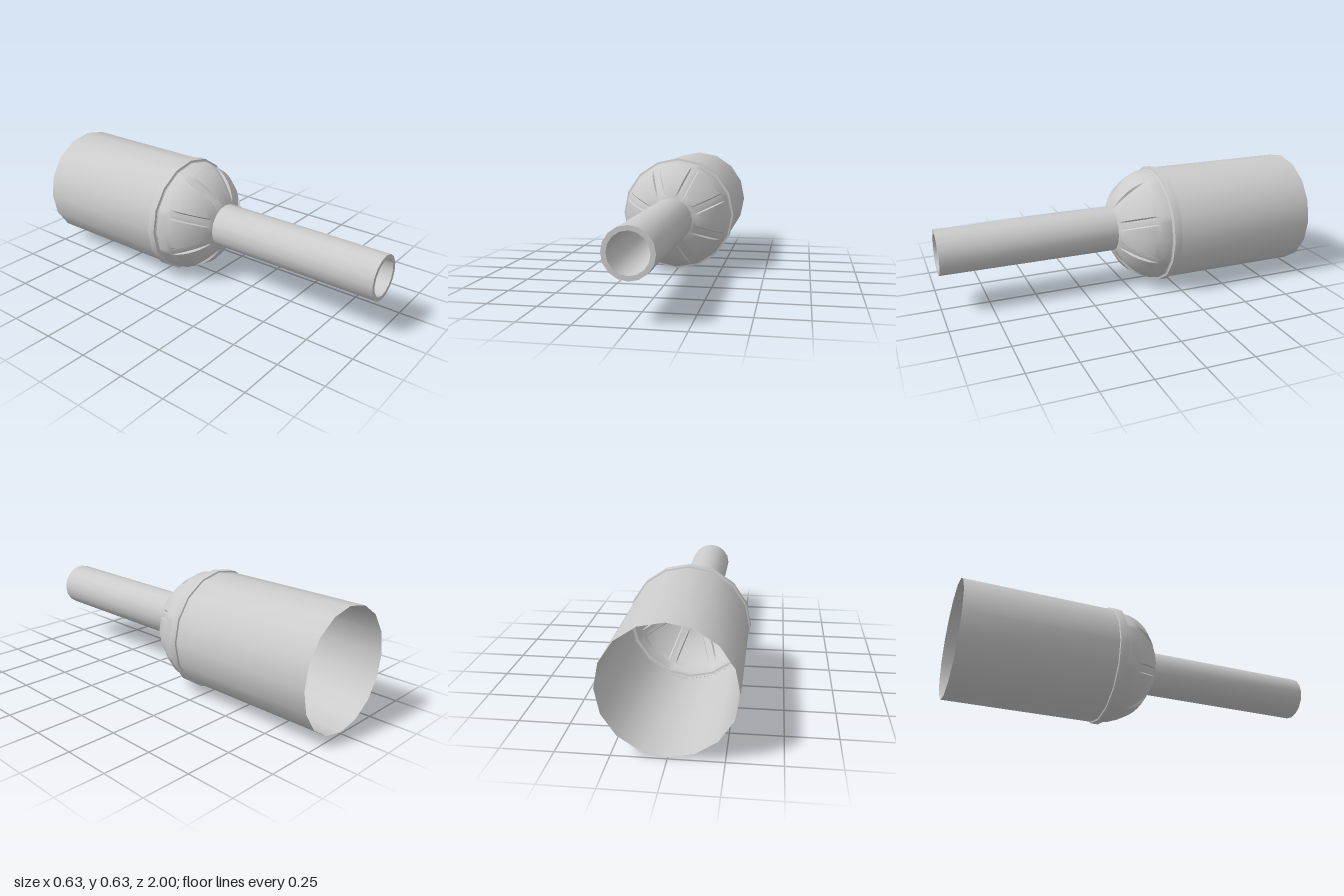
import * as THREE from 'three';
import { toCreasedNormals } from 'three/addons/utils/BufferGeometryUtils.js';

const SIDES = 16, AXIS_Y = 0.317, CREASE = 0.5;
const material = new THREE.MeshStandardMaterial({ color: 0xcccccc, side: THREE.DoubleSide });

function part(name, geometry) {
  const mesh = new THREE.Mesh(geometry, material);
  mesh.name = name;
  return mesh;
}

// Turned part from [radius, z] points listed from back to front
function turned(name, profile) {
  const points = profile.map(([r, z]) => new THREE.Vector2(r, z));
  const geometry = new THREE.LatheGeometry(points, SIDES).rotateX(Math.PI / 2);
  return part(name, toCreasedNormals(geometry, CREASE));
}

// Domed shoulder with eight flat-bottomed flutes that fade out at both ends
function domeGeometry() {
  const rows = 24, flutes = 8, radius = 0.302, height = 0.255, baseZ = -0.17;
  const thetaStart = 0.37, fluteStart = 0.42, fluteEnd = 1.34, maxDepth = 0.013;
  const step = (2 * Math.PI) / SIDES;
  const positions = [], indices = [];
  for (let i = 0; i <= rows; i++) {
    const theta = thetaStart + (Math.PI / 2 - thetaStart) * i / rows;
    const r = radius * Math.sin(theta);
    const s = THREE.MathUtils.clamp((theta - fluteStart) / (fluteEnd - fluteStart), 0, 1);
    const depth = maxDepth * Math.sin(Math.PI * s);
    const outer = Math.asin(0.025 / r), inner = Math.asin(0.019 / r);
    // Each sector: plain edge, flute lip, floor, floor, lip
    const columns = [[-step, 0], [-outer, 0], [-inner, depth], [0, depth], [inner, depth], [outer, 0]];
    for (let k = 0; k < flutes; k++) {
      for (const [offset, d] of columns) {
        const angle = (2 * k + 1) * step + offset;
        const a = Math.abs(offset);
        const facet = Math.cos(step / 2) / Math.cos(a - step / 2);
        const rr = r * facet - d * Math.sin(theta);
        positions.push(rr * Math.cos(angle), rr * Math.sin(angle),
          baseZ + height * Math.cos(theta) - d * Math.cos(theta));
      }
    }
  }
  const count = flutes * 6;
  for (let i = 0; i < rows; i++) {
    for (let j = 0; j < count; j++) {
      const a = i * count + j, b = i * count + (j + 1) % count;
      indices.push(a, a + count, b, b, a + count, b + count);
    }
  }
  const geometry = new THREE.BufferGeometry();
  geometry.setAttribute('position', new THREE.Float32BufferAttribute(positions, 3));
  geometry.setIndex(indices);
  return toCreasedNormals(geometry, CREASE);
}

export function createModel() {
  const group = new THREE.Group();
  group.name = 'flutedNozzle';

  // Wide open-ended body
  group.add(turned('body', [[0.309, -1], [0.309, -0.2]]));

  // Raised collar between body and dome
  group.add(turned('collar', [
    [0.308, -0.216], [0.317, -0.213], [0.317, -0.173], [0.306, -0.17], [0.301, -0.165],
  ]));

  group.add(part('dome', domeGeometry()));

  // Narrow pipe: outer wall, rim and bore
  group.add(turned('pipe', [[0.118, 0.04], [0.118, 1], [0.095, 1], [0.095, 0.05]]));

  // Closed end of the bore
  const floor = part('boreFloor', new THREE.CircleGeometry(0.118, SIDES));
  floor.position.z = 0.05;
  group.add(floor);

  for (const child of group.children) child.position.y = AXIS_Y;
  return group;
}
